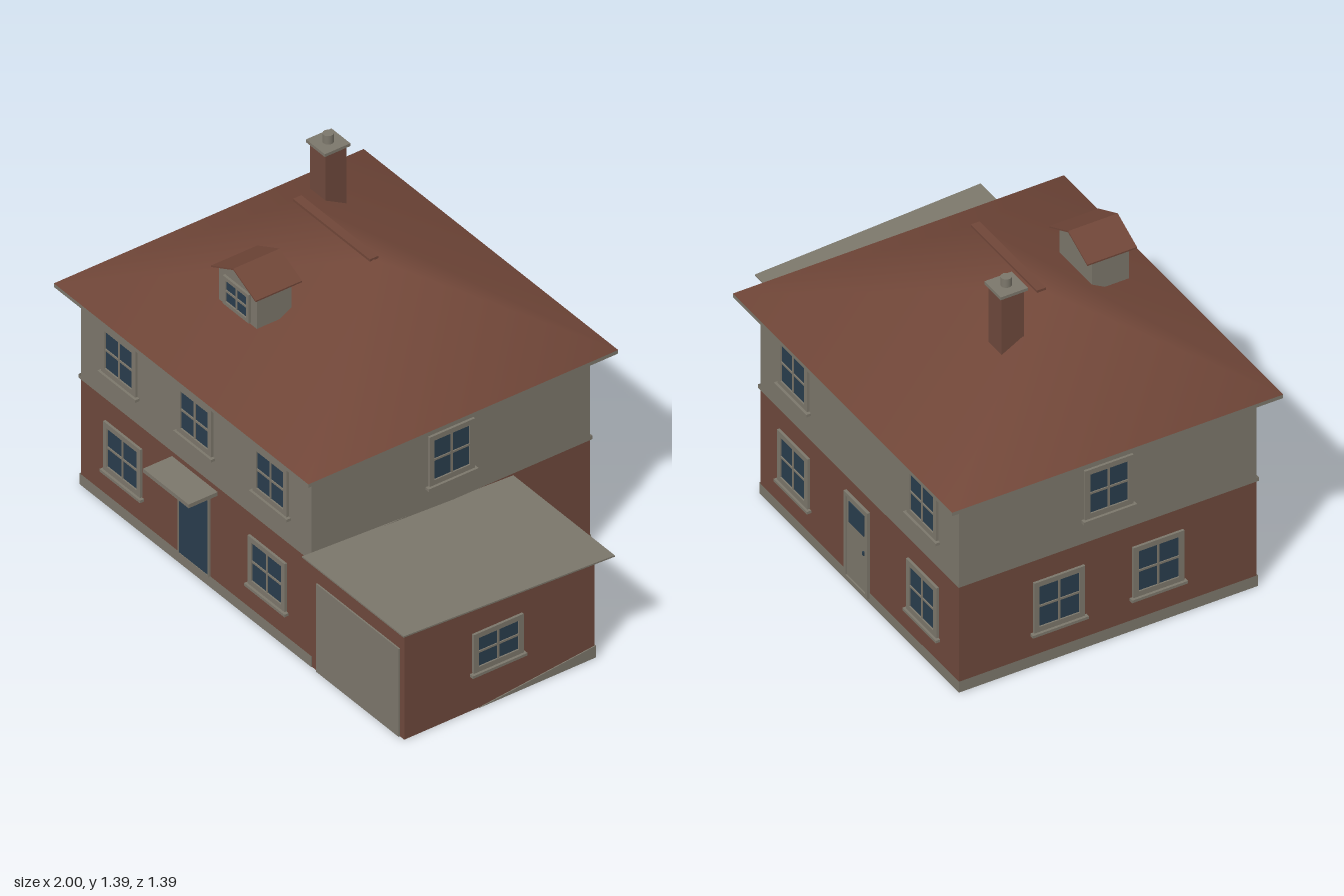
import * as THREE from 'three';

const mat = (name, color, side = THREE.FrontSide) => {
  const m = new THREE.MeshStandardMaterial({ color, side });
  m.name = name;
  return m;
};

export function createModel() {
  const stone = mat('stone grey', 0x7c776b, THREE.DoubleSide);
  const brick = mat('brick', 0x6e493c, THREE.DoubleSide);
  const tile = mat('roof tile', 0x704638, THREE.DoubleSide);
  const glass = mat('dark blue', 0x293d4d);

  const house = new THREE.Group();
  house.name = 'house';

  const add = (parent, name, geo, material) => {
    const mesh = new THREE.Mesh(geo, material);
    mesh.name = name;
    parent.add(mesh);
    return mesh;
  };
  const boxGeo = (x0, x1, y0, y1, z0, z1) =>
    new THREE.BoxGeometry(x1 - x0, y1 - y0, z1 - z0).translate((x0 + x1) / 2, (y0 + y1) / 2, (z0 + z1) / 2);
  const box = (parent, name, material, ...b) => add(parent, name, boxGeo(...b), material);
  // Four-sided shell; sides are +x 0, -x 1, +z 4, -z 5
  const shell = (name, material, b, sides = [0, 1, 4, 5]) => {
    const geo = boxGeo(...b);
    const index = Array.from(geo.index.array);
    geo.clearGroups();
    geo.setIndex(sides.flatMap((s) => index.slice(s * 6, s * 6 + 6)));
    return add(house, name, geo, material);
  };
  // Rectangular ring, standing on z = 0
  const frameGeo = (w, h, border, depth) => {
    const rect = (P, a, b) => new P([
      new THREE.Vector2(-a, -b), new THREE.Vector2(a, -b), new THREE.Vector2(a, b), new THREE.Vector2(-a, b)]);
    const shape = rect(THREE.Shape, w / 2, h / 2);
    shape.holes.push(rect(THREE.Path, w / 2 - border, h / 2 - border));
    return new THREE.ExtrudeGeometry(shape, { depth, bevelEnabled: false });
  };
  const place = (g, name, x, y, z, turn) => {
    g.name = name;
    g.position.set(x, y, z);
    g.rotation.y = turn;
    house.add(g);
    return g;
  };
  const addWindow = (name, x, y, z, turn = 0, w = 0.2, h = 0.2, sill = true, border = 0.021) => {
    const g = place(new THREE.Group(), name, x, y, z, turn);
    add(g, 'frame', frameGeo(w, h, border, 0.01), stone);
    box(g, 'pane', glass, -w / 2 + 0.01, w / 2 - 0.01, -h / 2 + 0.01, h / 2 - 0.01, 0, 0.004);
    box(g, 'uprightBar', stone, -0.004, 0.004, -h / 2 + border, h / 2 - border, 0.003, 0.008);
    box(g, 'crossBar', stone, -w / 2 + border, w / 2 - border, -0.004, 0.004, 0.003, 0.008);
    if (sill) box(g, 'sill', stone, -w / 2 - 0.01, w / 2 + 0.01, -h / 2 - 0.013, -h / 2 - 0.002, 0, 0.018);
  };

  // House walls, hollow and open below
  const X0 = -0.93, X1 = 0.41, Z0 = -0.63, Z1 = 0.57;
  shell('lowerWalls', brick, [X0, X1, 0, 0.455, Z0, Z1]);
  shell('upperWalls', stone, [X0, X1, 0.455, 0.835, Z0, Z1]);
  shell('storeyBand', stone, [X0 - 0.006, X1 + 0.006, 0.455, 0.47, Z0 - 0.006, Z1 + 0.006]);
  shell('plinth', stone, [X0 - 0.003, X1 + 0.003, 0, 0.047, Z0 - 0.003, Z1 + 0.003]);

  // Hipped roof
  box(house, 'eaves', stone, -1, 0.48, 0.83, 0.845, -0.7, 0.635);
  const roof = new THREE.BufferGeometry();
  roof.setAttribute('position', new THREE.Float32BufferAttribute([
    -1, 0.845, 0.635, 0.48, 0.845, 0.635, 0.48, 0.845, -0.7, -1, 0.845, -0.7,
    -0.48, 1.22, -0.03, -0.04, 1.22, -0.03], 3));
  roof.setIndex([0, 1, 5, 0, 5, 4, 1, 2, 5, 2, 3, 4, 2, 4, 5, 3, 0, 4]);
  roof.computeVertexNormals();
  add(house, 'mainRoof', roof, tile);
  box(house, 'ridgeCap', tile, -0.485, -0.038, 1.216, 1.226, -0.05, -0.014);

  // Chimney
  box(house, 'chimneyStack', brick, -0.59, -0.5, 0.95, 1.34, -0.255, -0.165);
  box(house, 'chimneyCap', stone, -0.6, -0.49, 1.34, 1.352, -0.265, -0.155);
  add(house, 'chimneyPot', new THREE.CylinderGeometry(0.02, 0.02, 0.036, 16).translate(-0.545, 1.37, -0.21), stone);

  // Dormer with gabled front and back
  const gable = new THREE.Shape([[-0.11, 1.038], [0.11, 1.038], [0.11, 1.178], [0, 1.232], [-0.11, 1.178]]
    .map((p) => new THREE.Vector2(...p)));
  add(house, 'dormerBody', new THREE.ExtrudeGeometry(gable, { depth: 0.15, bevelEnabled: false })
    .translate(-0.26, 0, 0.24), stone);
  for (const s of [-1, 1]) {
    const slope = new THREE.Shape([[0, 1.24], [s * 0.13, 1.178], [s * 0.13, 1.172], [0, 1.234]]
      .map((p) => new THREE.Vector2(...p)));
    add(house, s < 0 ? 'dormerRoofRight' : 'dormerRoofLeft',
      new THREE.ExtrudeGeometry(slope, { depth: 0.2, bevelEnabled: false }).translate(-0.26, 0, 0.21), tile);
  }
  addWindow('dormerWindow', -0.26, 1.105, 0.39, 0, 0.15, 0.12, false, 0.015);

  // Windows front and back
  for (const x of [-0.7, -0.26, 0.18]) addWindow('upperFrontWindow', x, 0.665, Z1);
  for (const x of [-0.68, 0.16]) addWindow('lowerFrontWindow', x, 0.255, Z1, 0, 0.215, 0.205);
  for (const x of [-0.69, 0.18]) {
    addWindow('upperBackWindow', x, 0.665, Z0, Math.PI);
    addWindow('lowerBackWindow', x, 0.255, Z0, Math.PI, 0.205, 0.215);
  }
  // Windows on both sides
  for (const [x, turn] of [[X1, Math.PI / 2], [X0, -Math.PI / 2]]) {
    addWindow('upperSideWindow', x, 0.66, -0.03, turn, 0.195, 0.21);
    for (const z of [-0.23, 0.17]) addWindow('lowerSideWindow', x, 0.252, z, turn, 0.205, 0.215);
  }

  // Front door and canopy
  const front = place(new THREE.Group(), 'frontDoor', -0.267, 0, Z1, 0);
  add(front, 'doorFrame', frameGeo(0.18, 0.352, 0.006, 0.008).translate(0, 0.218, 0), stone);
  box(front, 'doorLeaf', glass, -0.084, 0.084, 0.045, 0.389, 0, 0.006);
  box(house, 'doorCanopy', stone, -0.4, -0.135, 0.412, 0.428, Z1, 0.695);

  // Back door with glazed top
  const back = place(new THREE.Group(), 'backDoor', -0.25, 0, Z0, Math.PI);
  add(back, 'doorFrame', frameGeo(0.16, 0.37, 0.014, 0.012).translate(0, 0.205, 0), stone);
  box(back, 'doorLeaf', stone, -0.07, 0.07, 0.025, 0.385, 0, 0.006);
  box(back, 'doorPane', glass, -0.05, 0.05, 0.27, 0.36, 0.005, 0.009);
  box(back, 'doorHandle', glass, 0.045, 0.053, 0.19, 0.205, 0.005, 0.012);

  // Garage
  const GX = 0.95, GZ = -0.25;
  shell('garageWalls', brick, [X1, GX, 0, 0.442, GZ, Z1], [0, 4, 5]);
  box(house, 'garageDoor', stone, 0.445, 0.925, 0, 0.375, Z1, Z1 + 0.006);
  addWindow('garageWindow', GX, 0.243, 0.17, Math.PI / 2, 0.215, 0.165);
  box(house, 'garageBackPlinth', stone, X1, GX + 0.003, 0, 0.05, GZ - 0.004, GZ);
  const wedge = new THREE.Shape([[0.25, 0], [GZ, 0], [GZ, 0.05]].map(([z, y]) => new THREE.Vector2(-z, y)));
  add(house, 'garageSidePlinth', new THREE.ExtrudeGeometry(wedge, { depth: 0.004, bevelEnabled: false })
    .rotateY(Math.PI / 2).translate(GX, 0, 0), stone);
  // Garage roof rises gently to the front
  const slab = boxGeo(X1, 1, 0.436, 0.442, -0.3, 0.61);
  const p = slab.attributes.position;
  for (let i = 0; i < p.count; i++) if (p.getZ(i) > 0) p.setY(i, p.getY(i) + 0.045);
  slab.computeVertexNormals();
  add(house, 'garageRoof', slab, stone);

  return house;
}
